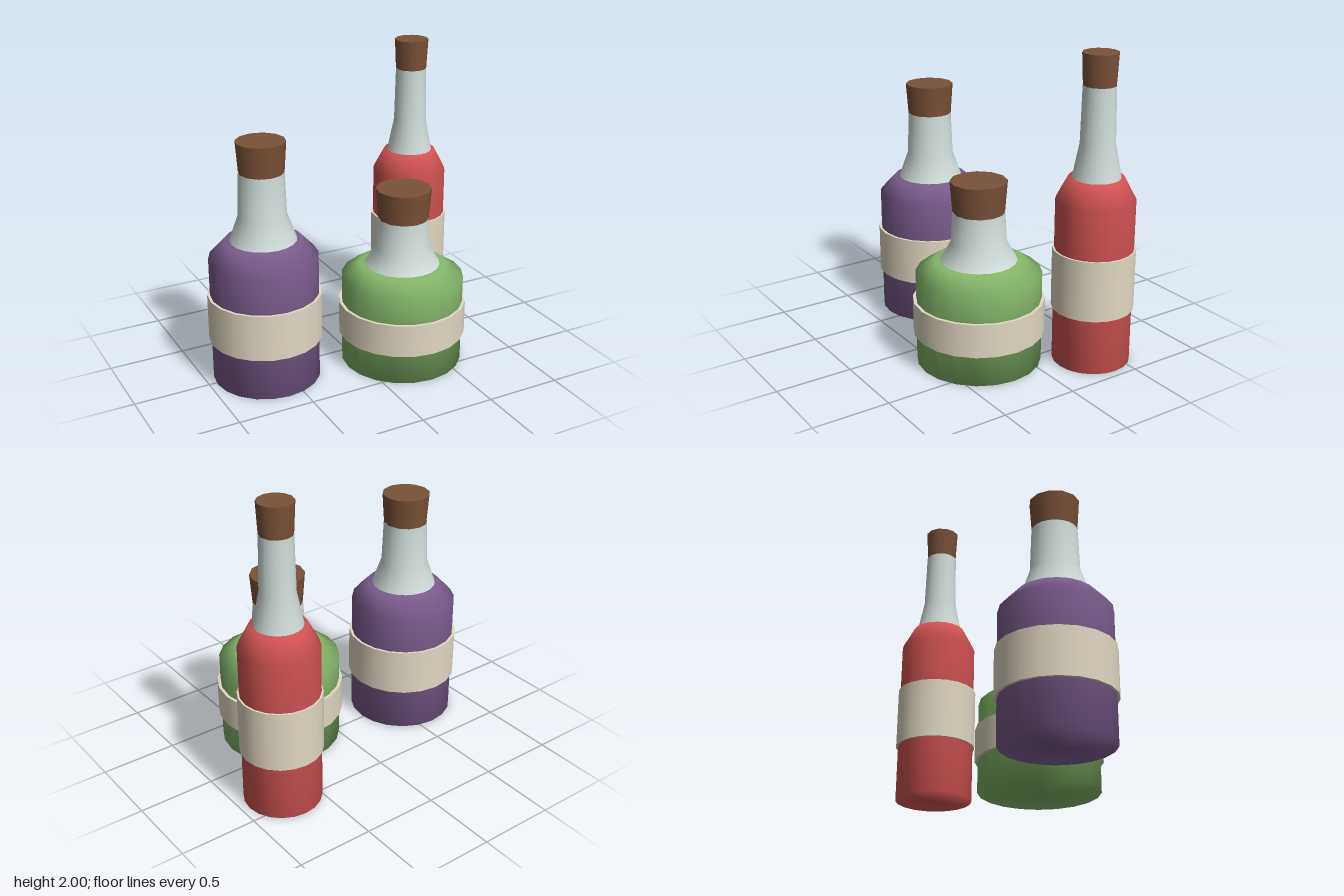
import * as THREE from 'three';

const mat = (color, side = THREE.FrontSide) => new THREE.MeshStandardMaterial({ color, side });

const glassMat = mat(0xd0dcd9, THREE.DoubleSide);
const labelMat = mat(0xe2d8c4);
const corkMat = mat(0x7a5238);
const SIDES = 20;
const CORK_HEIGHT = 0.2;

function addPart(parent, name, geometry, material, y = 0) {
  const mesh = new THREE.Mesh(geometry, material);
  mesh.name = name;
  mesh.position.y = y;
  parent.add(mesh);
}

// Turned shape from [radius, height] points, scaled to the bottle's radius and height
function turned(points, r, h) {
  return new THREE.LatheGeometry(points.map(([x, y]) => new THREE.Vector2(x * r, y * h)), SIDES);
}

// One corked bottle; h is the height of the glass without the cork
function bottle(name, r, h, color) {
  const g = new THREE.Group();
  g.name = name;

  // Coloured body with a sloping shoulder and a flat top
  addPart(g, 'body', turned([[0, 0], [1, 0], [1, 0.6], [0.7, 0.68], [0, 0.68]], r, h), mat(color));

  // Clear neck, rising out of the body
  addPart(g, 'neck', turned([[0.66, 0.665], [0.61, 0.68], [0.44, 0.8], [0.41, 1]], r, h), glassMat);

  // Label band around the belly
  addPart(g, 'label', new THREE.CylinderGeometry(r * 1.05, r * 1.05, h * 0.22, SIDES), labelMat, h * 0.313);

  // Tapered cork
  addPart(g, 'cork', new THREE.CylinderGeometry(r * 0.45, r * 0.41, CORK_HEIGHT, 12), corkMat, h + CORK_HEIGHT / 2);
  return g;
}

export function createModel() {
  const model = new THREE.Group();
  model.name = 'bottles';
  const specs = [
    ['mediumBottle', 0.35, 1.4, 0x7a5c8c, -0.6, 0.02],
    ['shortBottle', 0.4, 1.0, 0x86b86a, 0.3, 0.22],
    ['tallBottle', 0.25, 1.8, 0xcf5252, 0.7, -0.38],
  ];
  for (const [name, r, h, color, x, z] of specs) {
    const b = bottle(name, r, h, color);
    b.position.set(x, 0, z);
    model.add(b);
  }
  return model;
}
